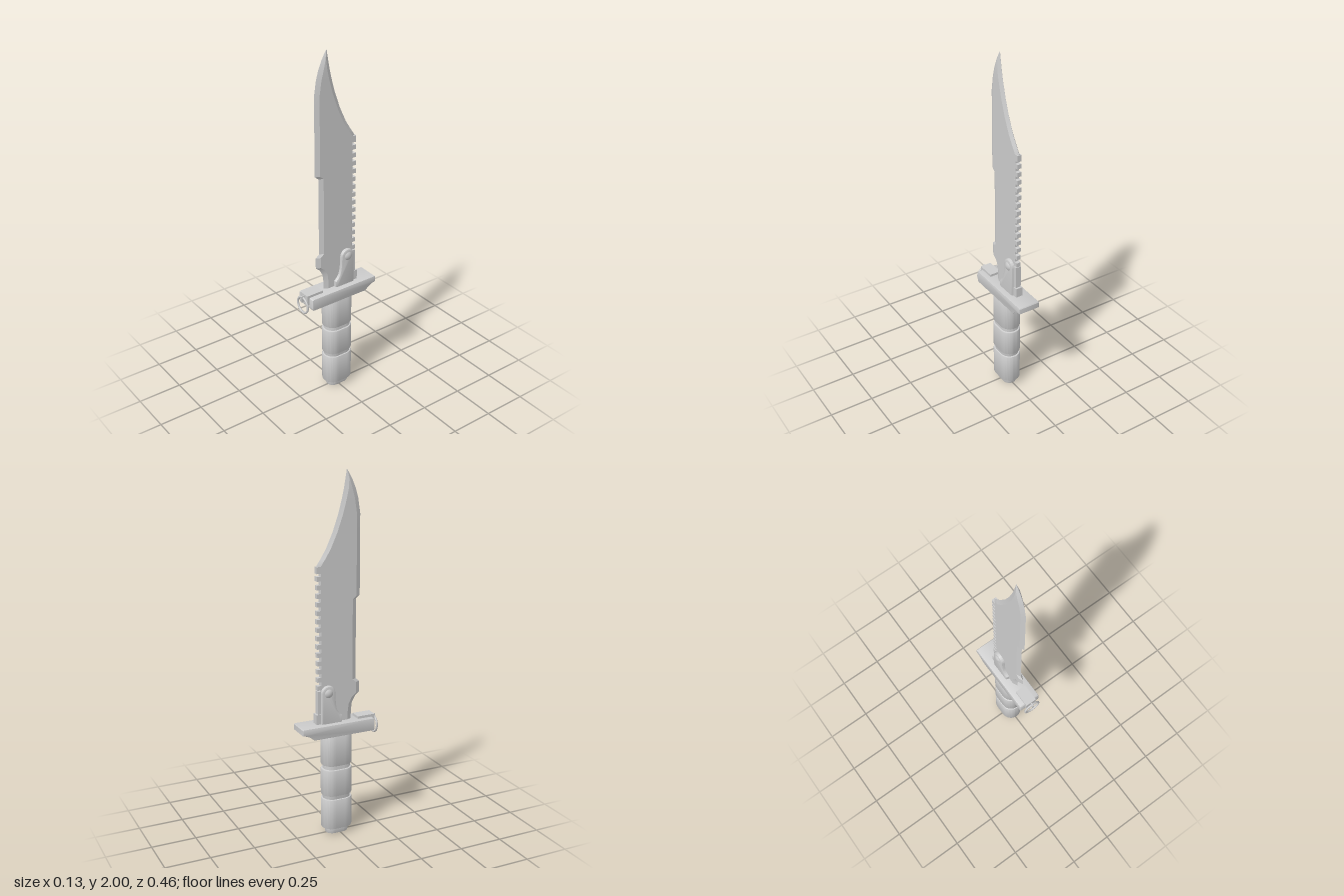
import * as THREE from 'three';
import { toCreasedNormals } from 'three/addons/utils/BufferGeometryUtils.js';

const material = new THREE.MeshStandardMaterial({ color: 0xcccccc, side: THREE.DoubleSide });

function add(parent, name, geometry, x = 0, y = 0, z = 0) {
  const mesh = new THREE.Mesh(geometry, material);
  mesh.name = name;
  mesh.position.set(x, y, z);
  parent.add(mesh);
  return mesh;
}

// Extrusion of a (z, y) side profile, centred across x, with a small bevel.
function sideExtrude(shape, halfWidth, bevel) {
  const g = new THREE.ExtrudeGeometry(shape, {
    depth: 2 * (halfWidth - bevel), bevelThickness: bevel, bevelSize: bevel,
    bevelOffset: -bevel, bevelSegments: 2, curveSegments: 16,
  });
  g.translate(0, 0, -(halfWidth - bevel));
  g.rotateY(-Math.PI / 2);
  return toCreasedNormals(g, 0.6);
}

// Upright oval bar: straight sides with round front and back.
function ovalBar(halfX, halfZ, height, bevel) {
  const s = new THREE.Shape();
  const d = halfZ - halfX;
  s.absarc(0, d, halfX, 0, Math.PI, false);
  s.absarc(0, -d, halfX, Math.PI, 2 * Math.PI, false);
  s.closePath();
  const g = new THREE.ExtrudeGeometry(s, {
    depth: height - 2 * bevel, bevelThickness: bevel, bevelSize: bevel,
    bevelOffset: -bevel, bevelSegments: 2, curveSegments: 20,
  });
  g.translate(0, 0, bevel);
  g.rotateX(-Math.PI / 2);
  return toCreasedNormals(g, 0.6);
}

// Blade lofted from cross-sections: [y, cutting edge z, spine z, spine is sharp].
function bladeGeometry() {
  const rows = [
    [0.64, 0.08, -0.105, 0], [0.70, 0.08, -0.105, 0], [0.745, 0.086, -0.105, 0],
    [0.78, 0.105, -0.105, 0], [0.80, 0.13, -0.105, 0], [0.862, 0.13, -0.105, 0],
    [0.88, 0.108, -0.105, 0], [1.322, 0.108, -0.105, 0], [1.34, 0.13, -0.105, 0],
    [1.495, 0.13, -0.105, 0], [1.515, 0.13, -0.122, 1], [1.55, 0.13, -0.098, 1],
    [1.60, 0.13, -0.067, 1], [1.68, 0.13, -0.03, 1], [1.77, 0.13, 0.002, 1],
    [1.85, 0.118, 0.024, 1], [1.90, 0.104, 0.035, 1], [1.95, 0.083, 0.044, 1],
    [1.98, 0.066, 0.049, 1], [2.0, 0.053, 0.052, 1],
  ];
  const pos = [], index = [], n = 7;
  rows.forEach(([y, f, s, sharp]) => {
    const w = f - s, t = Math.min(0.0125, w * 0.25);
    const front = f - Math.min(0.025, w * 0.45);
    const back = s + (sharp ? Math.min(0.022, w * 0.45) : 0.004);
    const b = sharp ? 0.0005 : t * 0.8;
    [[0, f], [t, front], [t, back], [b, s], [-b, s], [-t, back], [-t, front]]
      .forEach(([x, z]) => pos.push(x, y, z));
  });
  for (let j = 0; j < rows.length - 1; j++) {
    for (let i = 0; i < n; i++) {
      const a = j * n + i, b = j * n + (i + 1) % n;
      index.push(a, b, b + n, a, b + n, a + n);
    }
  }
  const g = new THREE.BufferGeometry();
  g.setAttribute('position', new THREE.Float32BufferAttribute(pos, 3));
  g.setIndex(index);
  return toCreasedNormals(g, 0.35);
}

export function createModel() {
  const model = new THREE.Group();
  model.name = 'knife';

  // Blade with square saw teeth along the spine
  const blade = new THREE.Group();
  blade.name = 'blade';
  model.add(blade);
  add(blade, 'bladeBody', bladeGeometry());
  for (let i = 0; i < 15; i++) {
    const h = i === 0 ? 0.036 : 0.025;
    add(blade, 'sawTooth', new THREE.BoxGeometry(0.025, h, 0.027), 0, 1.494 - i * 0.0455, -0.1115);
  }

  // Handle: three grip sections over a slimmer core, and a stepped pommel
  const handle = new THREE.Group();
  handle.name = 'handle';
  handle.position.z = -0.009;
  model.add(handle);
  add(handle, 'core', ovalBar(0.052, 0.078, 0.55, 0.004), 0, 0.035, 0);
  [[0.035, 0.212], [0.232, 0.388], [0.41, 0.59]].forEach(([y0, y1]) => {
    add(handle, 'gripSection', ovalBar(0.06, 0.088, y1 - y0, 0.006), 0, y0, 0);
  });
  add(handle, 'pommel', ovalBar(0.04, 0.066, 0.05, 0.006));

  // Guard with an undercut rear end
  const guard = new THREE.Shape();
  guard.moveTo(0.187, 0.585);
  guard.quadraticCurveTo(0.197, 0.587, 0.197, 0.6);
  guard.lineTo(0.197, 0.642);
  guard.quadraticCurveTo(0.197, 0.654, 0.187, 0.655);
  guard.lineTo(-0.228, 0.655);
  guard.lineTo(-0.232, 0.65);
  guard.lineTo(-0.232, 0.62);
  guard.lineTo(-0.21, 0.615);
  guard.quadraticCurveTo(-0.185, 0.605, -0.165, 0.585);
  guard.closePath();
  add(model, 'guard', sideExtrude(guard, 0.063, 0.004));

  // Latch on the front of the guard with a hanging ring
  const latch = new THREE.Group();
  latch.name = 'latch';
  model.add(latch);
  add(latch, 'latchPlate', new THREE.BoxGeometry(0.064, 0.022, 0.102), 0, 0.658, 0.159);
  add(latch, 'latchFront', new THREE.BoxGeometry(0.064, 0.045, 0.022), 0, 0.635, 0.199);
  add(latch, 'ringTab', new THREE.BoxGeometry(0.007, 0.035, 0.022), 0, 0.642, 0.219);
  add(latch, 'ring', new THREE.TorusGeometry(0.046, 0.006, 10, 40), 0, 0.604, 0.218);

  // Bracket holding the blade: rounded cheek plates, knob and spine bar
  const bracket = new THREE.Group();
  bracket.name = 'bracket';
  model.add(bracket);
  const cheek = new THREE.Shape();
  cheek.moveTo(0.017, 0.645);
  cheek.lineTo(0.017, 0.69);
  cheek.bezierCurveTo(-0.015, 0.71, -0.022, 0.74, -0.024, 0.825);
  cheek.absarc(-0.065, 0.825, 0.041, 0, Math.PI, false);
  cheek.lineTo(-0.108, 0.645);
  cheek.closePath();
  add(bracket, 'cheekPlates', sideExtrude(cheek, 0.031, 0.01));
  const knob = add(bracket, 'knob', new THREE.SphereGeometry(0.04, 28, 18), 0, 0.825, -0.066);
  knob.scale.set(1, 0.95, 0.95);
  add(bracket, 'spineBar', new THREE.BoxGeometry(0.032, 0.195, 0.03), 0, 0.742, -0.108);
  add(bracket, 'spineFoot', new THREE.BoxGeometry(0.04, 0.06, 0.04), 0, 0.68, -0.114);

  return model;
}
